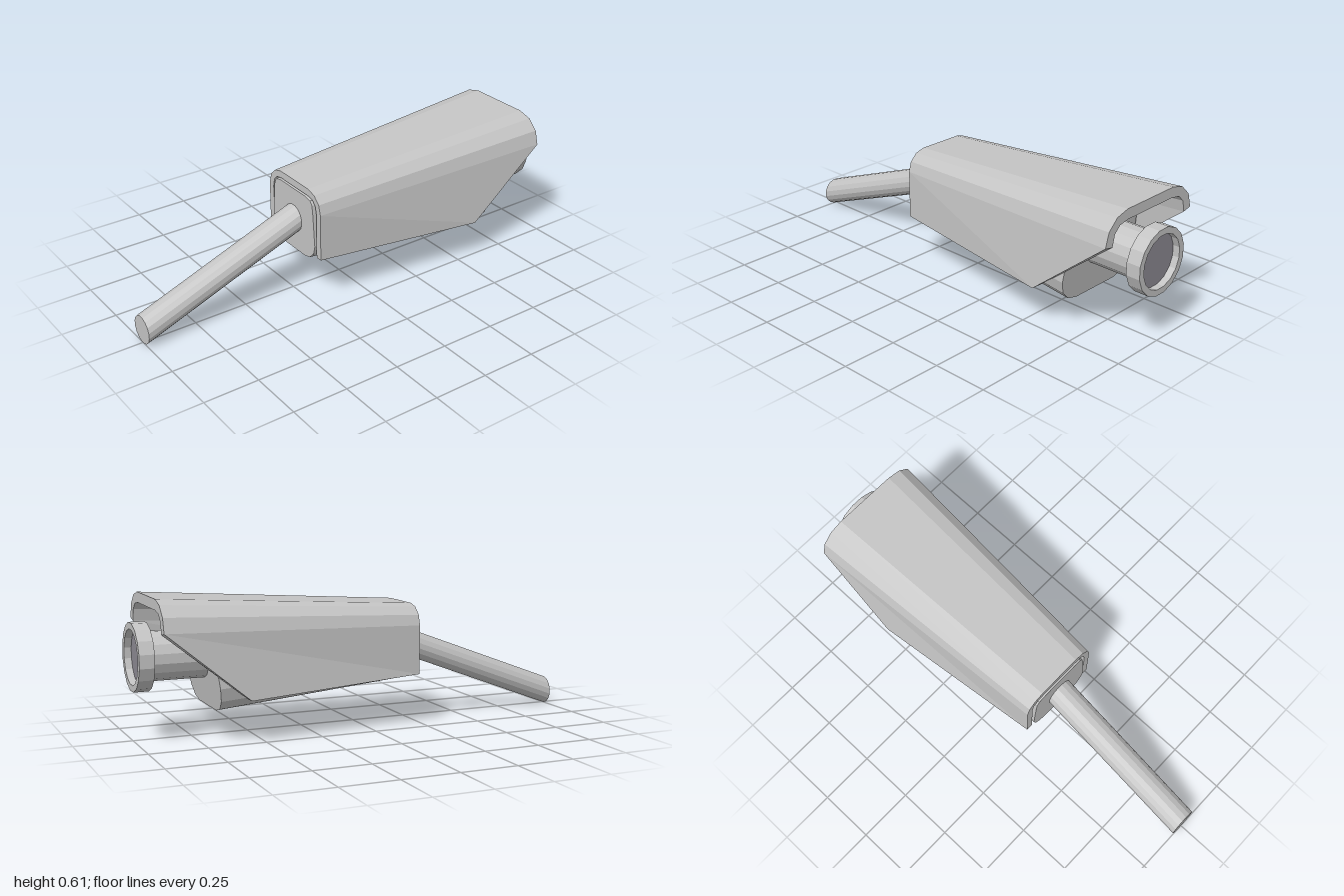
import * as THREE from 'three';

// Closed solid between two matching rings of [x, y, z]; ends are capped with strips.
function loft(a, b) {
  const pos = [], n = a.length;
  const quad = (p, q, r, s) => pos.push(...p, ...q, ...r, ...p, ...r, ...s);
  for (let i = 0; i < n; i++) {
    const j = (i + 1) % n;
    quad(a[i], a[j], b[j], b[i]);
  }
  for (let i = 0; i < n / 2 - 1; i++) {
    quad(b[i], b[i + 1], b[n - 2 - i], b[n - 1 - i]);
    quad(a[n - 1 - i], a[n - 2 - i], a[i + 1], a[i]);
  }
  const g = new THREE.BufferGeometry();
  g.setAttribute('position', new THREE.Float32BufferAttribute(pos, 3));
  g.computeVertexNormals();
  return g;
}

// Mirrors a half profile of [z, y] (bottom to top) into an arch from -z over the top to +z.
const arch = (half) => [
  ...half.map(([z, y]) => [-z, y]),
  ...half.slice().reverse(),
];

export function createModel() {
  const grey = new THREE.MeshStandardMaterial({ color: 0xc4c4c4 });
  grey.name = 'light grey casing';
  grey.flatShading = true;
  const glass = new THREE.MeshStandardMaterial({ color: 0x8c8992 });
  glass.name = 'smoky glass';

  const model = new THREE.Group();
  model.name = 'surveillanceCamera';
  const add = (name, geometry, material = grey) => {
    const mesh = new THREE.Mesh(geometry, material);
    mesh.name = name;
    model.add(mesh);
    return mesh;
  };

  // Hood: tapered open-bottomed shell with a diagonal cut at the front
  const outer = arch([[0.275, 0.185], [0.275, 0.482], [0.257, 0.545], [0.21, 0.59], [0.147, 0.607]]);
  const inner = arch([[0.232, 0.183], [0.232, 0.473], [0.22, 0.525], [0.19, 0.553], [0.14, 0.562]]);
  const hood = [...outer, ...inner.reverse()];
  const hoodFront = hood.map(([z, y]) => [y < 0.2 ? 0.57 : 0.93, y, z]);
  const hoodBack = hood.map(([z, y]) => [
    -0.235, y < 0.2 ? 0.225 : 0.53 - (0.607 - y) * 0.71, z * 0.71,
  ]);
  add('hood', loft(hoodBack, hoodFront));

  // Body: tapered rounded box under the hood, front face leaning slightly
  const body = arch([
    [0.12, 0.126], [0.175, 0.14], [0.215, 0.18], [0.23, 0.235],
    [0.211, 0.46], [0.204, 0.51], [0.184, 0.535], [0.135, 0.545],
  ]);
  const bodyFront = body.map(([z, y]) => [0.675 + (y - 0.126) * 0.13, y, z]);
  const bodyBack = body.map(([z, y]) => [-0.242, 0.2 + (y - 0.126) * 0.7, z * 0.7]);
  add('body', loft(bodyBack, bodyFront));

  // Mounting arm: round bar sheared so that both ends stay vertical
  const circle = (x, y) => Array.from({ length: 16 }, (_, i) => {
    const t = ((i + 0.5) / 16) * Math.PI * 2;
    return [x, y + 0.064 * Math.cos(t), 0.064 * Math.sin(t)];
  });
  add('mountingArm', loft(circle(-1, 0.064), circle(-0.2, 0.366)));

  // Lens barrel with a stepped rim, turned around the x axis
  const lensY = 0.354;
  const turn = (g) => g.rotateY(Math.PI / 16).rotateZ(-Math.PI / 2).translate(0, lensY, 0);
  const barrel = [
    [0.105, 0.66], [0.105, 0.935], [0.146, 0.935], [0.146, 1], [0.118, 1], [0.118, 0.965],
  ].map(([r, x]) => new THREE.Vector2(r, x));
  add('lensBarrel', turn(new THREE.LatheGeometry(barrel.reverse(), 16)));
  const pane = new THREE.CylinderGeometry(0.118, 0.118, 0.008, 16);
  add('lensGlass', turn(pane.translate(0, 0.965, 0)), glass);

  // Lathe profile runs front to back, so flip its faces outward
  const lathe = model.getObjectByName('lensBarrel').geometry;
  const idx = lathe.index.array;
  for (let i = 0; i < idx.length; i += 3) [idx[i], idx[i + 1]] = [idx[i + 1], idx[i]];
  lathe.computeVertexNormals();

  return model;
}
